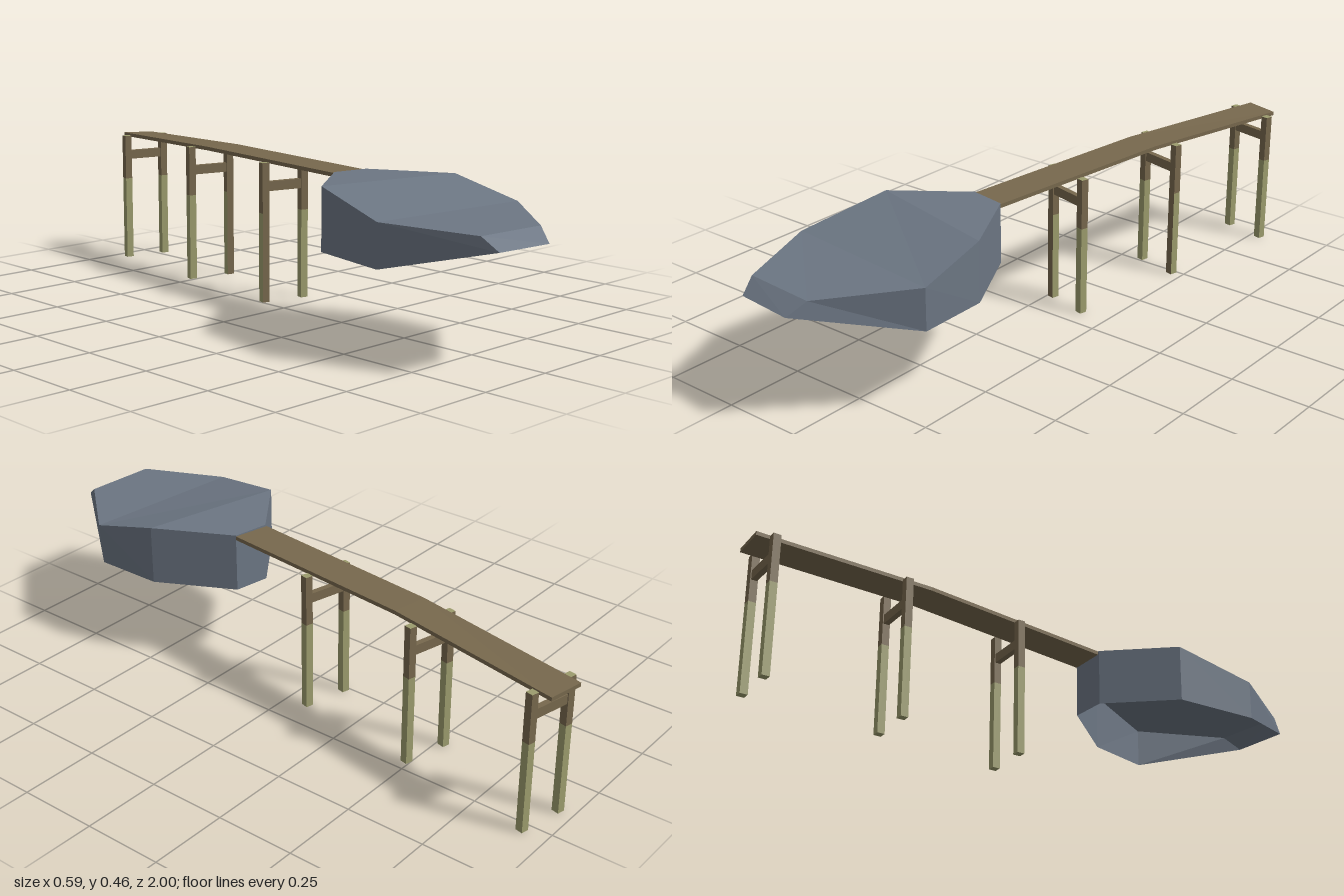
import * as THREE from 'three';

const stone = new THREE.MeshStandardMaterial({ color: 0x6c7683, side: THREE.DoubleSide });
stone.name = 'slate stone';
const wood = new THREE.MeshStandardMaterial({ color: 0x77684d });
wood.name = 'brown wood';
const algae = new THREE.MeshStandardMaterial({ color: 0x9c9c6d });
algae.name = 'olive algae';

// Flat-faced mesh from corner loops, each fanned into triangles
function facetMesh(name, loops, material) {
  const pos = [];
  for (const loop of loops) {
    for (let i = 1; i < loop.length - 1; i++) pos.push(...loop[0], ...loop[i], ...loop[i + 1]);
  }
  const geo = new THREE.BufferGeometry();
  geo.setAttribute('position', new THREE.Float32BufferAttribute(pos, 3));
  geo.computeVertexNormals();
  const mesh = new THREE.Mesh(geo, material);
  mesh.name = name;
  return mesh;
}

// Faceted rock platform: a sloped lid and side walls, open underneath
function createRock() {
  const top = [
    [-0.015, 0.455, 0.23], [0.1, 0.455, 0.25], [0.225, 0.455, 0.49], [0.232, 0.4, 0.715],
    [0.03, 0.388, 0.948], [-0.2, 0.388, 0.932], [-0.295, 0.4, 0.66], [-0.225, 0.455, 0.385],
  ];
  const bottom = top.map(([x, , z]) => [x, 0.268, z]);
  bottom[3] = [0.227, 0.268, 0.71];
  bottom[4] = [0, 0.35, 1];
  bottom[5] = [-0.185, 0.35, 0.982];
  bottom[6][1] = 0.272;
  const [a, b, c, d, e, f, g, h] = top;
  const loops = [[a, h, c, b], [h, g, d], [h, d, c], [g, f, e, d]];
  top.forEach((p, i) => {
    const j = (i + 1) % top.length;
    loops.push([bottom[i], p, top[j], bottom[j]]);
  });
  return facetMesh('rockPlatform', loops, stone);
}

// Thin walkway swept through three cross-sections with a slight bend
function createDeck() {
  const t = 0.012;
  const sections = [
    [[-0.015, 0.452, 0.225], [0.1, 0.452, 0.25]],
    [[0.067, 0.456, -0.43], [0.18, 0.456, -0.41]],
    [[0.168, 0.442, -1], [0.273, 0.438, -0.976]],
  ].map(([l, r]) => [l, r, [r[0], r[1] - t, r[2]], [l[0], l[1] - t, l[2]]]);
  const loops = [[...sections[0]].reverse(), sections[2]];
  for (let s = 0; s < 2; s++) {
    const p = sections[s], q = sections[s + 1];
    for (let k = 0; k < 4; k++) {
      const n = (k + 1) % 4;
      loops.push([p[k], p[n], q[n], q[k]]);
    }
  }
  return facetMesh('walkway', loops, wood);
}

function box(name, w, h, d, x, y, z, material, turn) {
  const mesh = new THREE.Mesh(new THREE.BoxGeometry(w, h, d), material);
  mesh.name = name;
  mesh.position.set(x, y, z);
  mesh.rotation.y = turn;
  return mesh;
}

// Square post: bare wood above, algae below and on the cut top
function createPost(name, x, z, height, turn, bareFront) {
  const post = new THREE.Group();
  post.name = name;
  const split = 0.285, w = 0.024;
  const lower = [algae, algae, algae, algae, bareFront ? wood : algae, algae];
  const upper = [wood, wood, algae, wood, wood, wood];
  post.add(box('postLower', w, split, w, x, split / 2, z, lower, turn));
  post.add(box('postUpper', w, height - split, w, x, (height + split) / 2, z, upper, turn));
  return post;
}

export function createModel() {
  const model = new THREE.Group();
  model.name = 'rockPier';
  model.add(createRock(), createDeck());

  // Trestles: two posts joined by a crossbeam
  const trestles = [
    { r: [0.016, -0.105], l: [0.152, -0.072], h: 0.444, bare: [true, false] },
    { r: [0.071, -0.52], l: [0.209, -0.487], h: 0.447, bare: [false, true] },
    { r: [0.142, -0.952], l: [0.279, -0.922], h: 0.437, bare: [false, false] },
  ];
  for (const { r, l, h, bare } of trestles) {
    const trestle = new THREE.Group();
    trestle.name = 'trestle';
    const dx = l[0] - r[0], dz = l[1] - r[1];
    const turn = -Math.atan2(dz, dx);
    trestle.add(
      createPost('rightPost', r[0], r[1], h, turn, bare[0]),
      createPost('leftPost', l[0], l[1], h, turn, bare[1]),
      box('crossbeam', Math.hypot(dx, dz), 0.03, 0.018,
        (r[0] + l[0]) / 2, 0.369, (r[1] + l[1]) / 2, wood, turn),
    );
    model.add(trestle);
  }
  return model;
}
